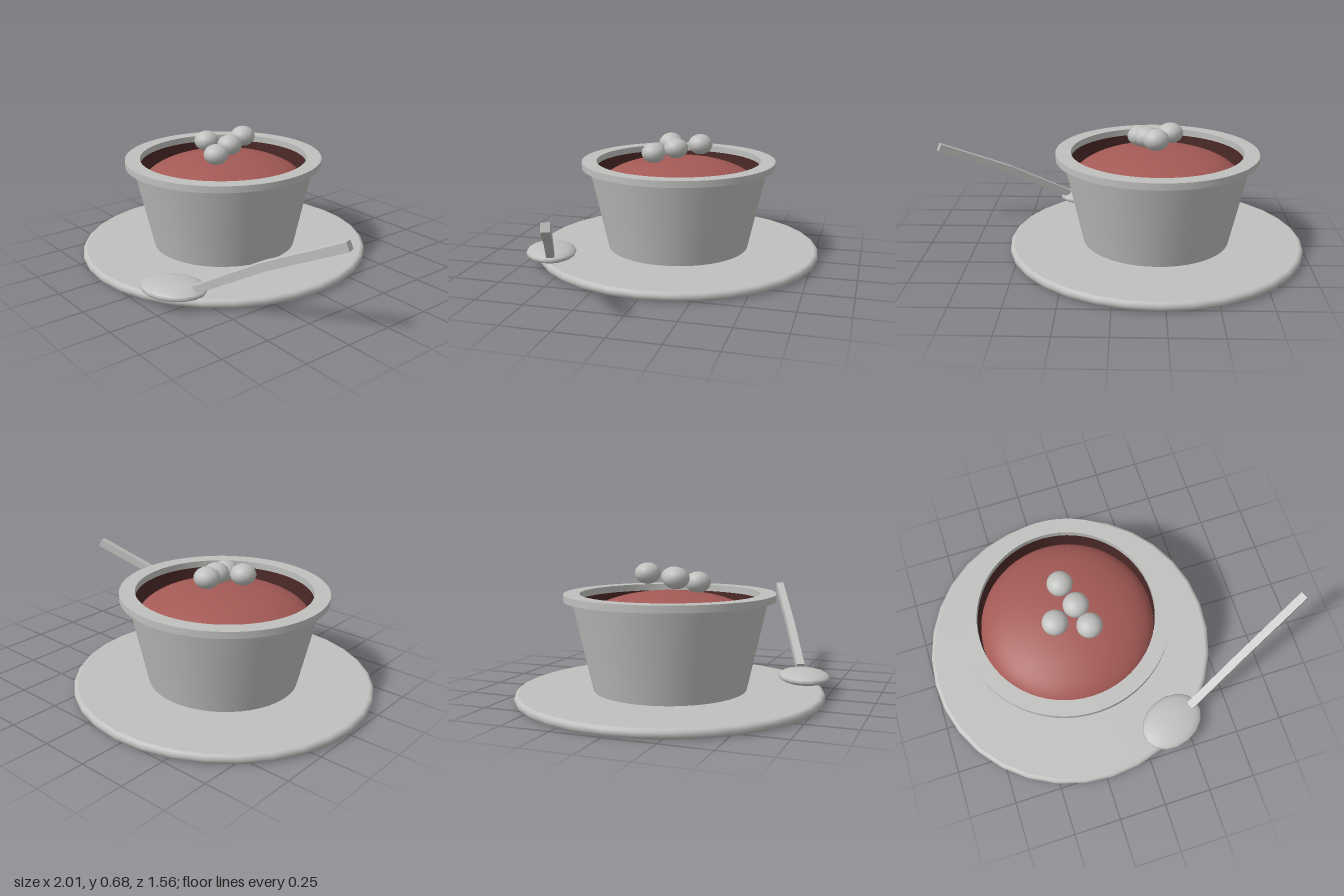
import * as THREE from 'three';

const GREY = new THREE.MeshStandardMaterial({ color: 0xc0c0be });
GREY.name = 'grey ceramic';
const RED = new THREE.MeshStandardMaterial({ color: 0xa45a56 });
RED.name = 'red pudding';
const DARK = new THREE.MeshStandardMaterial({ color: 0x4c2a28, side: THREE.DoubleSide });
DARK.name = 'dark red lining';

function part(parent, name, geometry, material, x = 0, y = 0, z = 0) {
  const mesh = new THREE.Mesh(geometry, material);
  mesh.name = name;
  mesh.position.set(x, y, z);
  parent.add(mesh);
  return mesh;
}

// Lathe from straight runs; each run has its own normals, so corners stay sharp
function turned(parent, name, runs, segments, material) {
  const group = new THREE.Group();
  group.name = name;
  parent.add(group);
  runs.forEach((run, i) => {
    const points = run.map(([r, y]) => new THREE.Vector2(r, y));
    part(group, name + 'Surface' + (i + 1), new THREE.LatheGeometry(points, segments), material);
  });
}

export function createModel() {
  const model = new THREE.Group();
  model.name = 'dessertWithSpoon';

  // Everything round shares one axis
  const dish = new THREE.Group();
  dish.name = 'dish';
  dish.position.x = -0.22;
  model.add(dish);

  // Flat saucer with a rounded edge
  const edge = [];
  for (let i = 0; i <= 6; i++) {
    const a = -Math.PI / 2 + (i / 6) * Math.PI;
    edge.push([0.76 + 0.02 * Math.cos(a), 0.0235 + 0.0235 * Math.sin(a)]);
  }
  turned(dish, 'saucer', [[[0, 0], [0.76, 0]], edge, [[0.76, 0.047], [0, 0.047]]], 32, GREY);

  // Tapered cup and its overhanging lip
  turned(dish, 'cup', [[[0.388, 0.045], [0.49, 0.5]]], 48, GREY);
  turned(dish, 'lip', [
    [[0.45, 0.497], [0.53, 0.497]],
    [[0.53, 0.497], [0.53, 0.532]],
    [[0.53, 0.532], [0.45, 0.532]],
    [[0.45, 0.532], [0.45, 0.497]],
  ], 64, GREY);

  // Inside wall and the domed pudding
  turned(dish, 'lining', [[[0.451, 0.5], [0.451, 0.36]]], 64, DARK);
  const dome = new THREE.SphereGeometry(0.45, 64, 16, 0, Math.PI * 2, 0, Math.PI / 2);
  dome.scale(1, 0.17 / 0.45, 1);
  part(dish, 'pudding', dome, RED, 0, 0.37, 0);

  // Berries on top
  const berry = new THREE.SphereGeometry(0.066, 20, 14);
  berry.scale(1, 0.82, 1);
  [[-0.21, 0.625, -0.125], [-0.165, 0.605, 0], [-0.29, 0.612, 0.06], [-0.13, 0.58, 0.115]]
    .forEach(([x, y, z], i) => part(model, 'berry' + (i + 1), berry, GREY, x, y, z));

  // Spoon, turned so its length runs to the right and back
  const spoon = new THREE.Group();
  spoon.name = 'spoon';
  spoon.position.set(0.17, 0.073, 0.603);
  spoon.rotation.y = 0.4;
  model.add(spoon);
  const scoop = new THREE.SphereGeometry(1, 16, 10);
  scoop.scale(0.176, 0.037, 0.134);
  part(spoon, 'spoonBowl', scoop, GREY);

  // Bent handle: side profile given a width
  const profile = new THREE.Shape([
    [0.142, 0.006], [0.5, 0.198], [0.897, 0.372], [0.88, 0.412], [0.48, 0.235], [0.122, 0.041],
  ].map(([x, y]) => new THREE.Vector2(x, y)));
  const handle = new THREE.ExtrudeGeometry(profile, { depth: 0.042, bevelEnabled: false });
  part(spoon, 'spoonHandle', handle, GREY, 0, 0, -0.017);

  return model;
}
